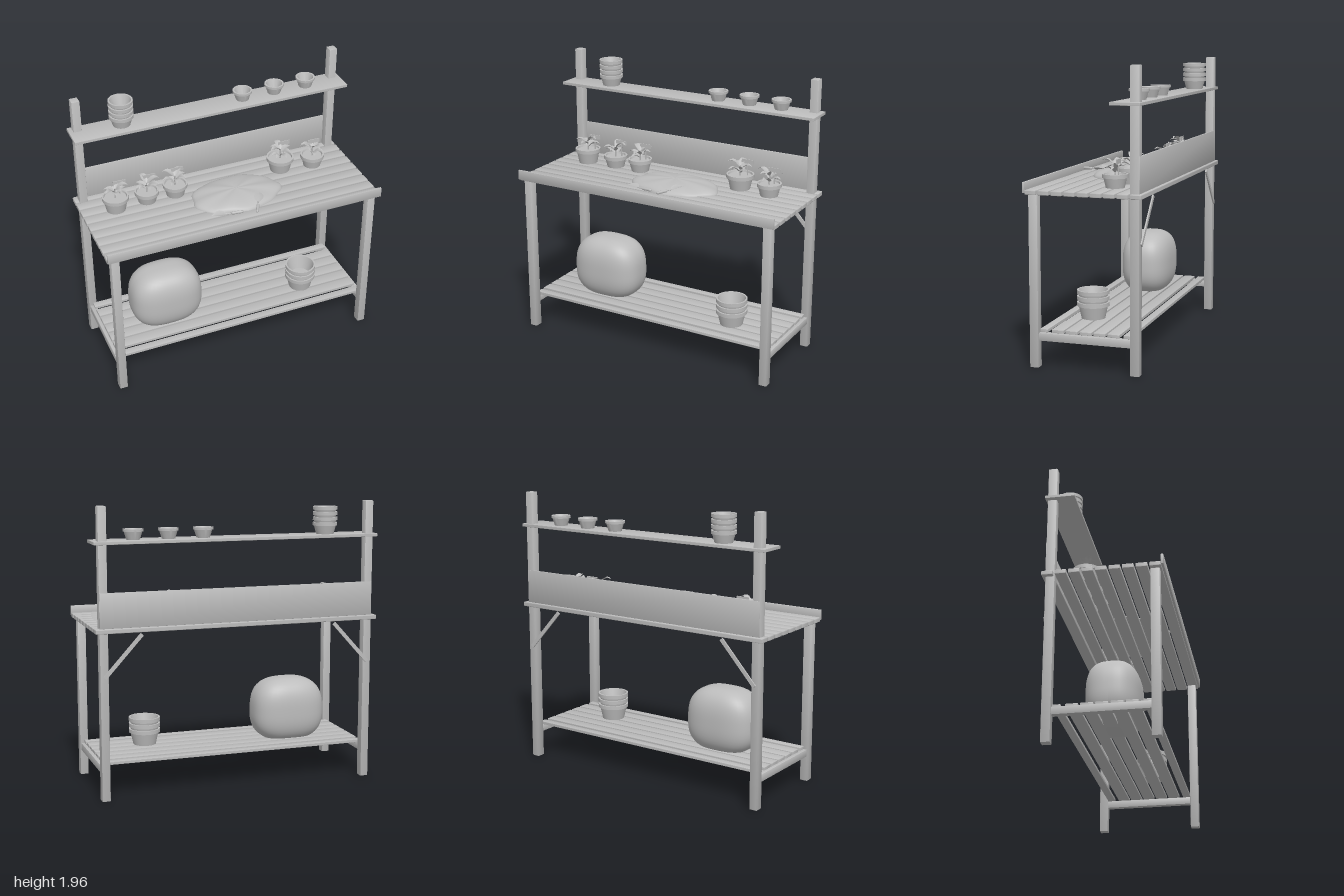
import * as THREE from 'three';
import { toCreasedNormals } from 'three/addons/utils/BufferGeometryUtils.js';
import { RoundedBoxGeometry } from 'three/addons/geometries/RoundedBoxGeometry.js';

const grey = new THREE.MeshStandardMaterial({ color: 0xbcbcbc });
grey.name = 'plain grey';
const greyThin = grey.clone();
greyThin.name = 'plain grey two sided';
greyThin.side = THREE.DoubleSide;

function add(parent, name, geometry, x = 0, y = 0, z = 0, material = grey) {
  const mesh = new THREE.Mesh(geometry, material);
  mesh.name = name;
  mesh.position.set(x, y, z);
  parent.add(mesh);
  return mesh;
}

// Board given by its min and max on each axis, with a slight bevel
function board(parent, name, [x0, x1], [y0, y1], [z0, z1], bevel = 0.006) {
  const geo = toCreasedNormals(new RoundedBoxGeometry(x1 - x0, y1 - y0, z1 - z0, 1, bevel), 0.6);
  return add(parent, name, geo, (x0 + x1) / 2, (y0 + y1) / 2, (z0 + z1) / 2);
}

// Flower pot with a rim band and hollow inside
function potGeometry(rTop, rBase, h, rim) {
  const pts = [[0, 0], [rBase, 0], [rTop * 0.9, h - rim], [rTop, h - rim], [rTop, h],
    [rTop - 0.012, h], [rBase - 0.01, 0.015], [0, 0.015]];
  const lathe = new THREE.LatheGeometry(pts.map(p => new THREE.Vector2(...p)), 28);
  return toCreasedNormals(lathe, 0.6);
}

function potStack(parent, name, count, step, size, x, y, z) {
  const stack = new THREE.Group();
  stack.name = name;
  stack.position.set(x, y, z);
  for (let i = 0; i < count; i++) add(stack, 'pot', potGeometry(...size), 0, i * step, 0);
  parent.add(stack);
}

// Pointed leaf, folded along its midrib and arching along +x
function leafGeometry(length, width, rise) {
  const pos = [], index = [];
  const n = 5;
  for (let i = 0; i <= n; i++) {
    const t = i / n;
    const w = width * Math.sin(Math.PI * Math.pow(t, 0.8)) * 0.5 + 0.0015;
    const y = rise * Math.sin(t * 2.2);
    for (const s of [-1, 0, 1]) pos.push(t * length, y + Math.abs(s) * w * 0.4, s * w);
    if (i < n) for (const k of [0, 1]) {
      const a = i * 3 + k;
      index.push(a, a + 1, a + 3, a + 1, a + 4, a + 3);
    }
  }
  const geo = new THREE.BufferGeometry();
  geo.setAttribute('position', new THREE.Float32BufferAttribute(pos, 3));
  geo.setIndex(index);
  geo.computeVertexNormals();
  return geo;
}

function pottedPlant(parent, seed, x, z, r, h, tagX, tagY) {
  const plant = new THREE.Group();
  plant.name = 'pottedPlant';
  plant.position.set(x, 1.166, z);
  add(plant, 'pot', potGeometry(r, r * 0.72, h, 0.025));
  add(plant, 'pottingSoil', new THREE.CylinderGeometry(r * 0.88, r * 0.85, 0.01, 24), 0, h - 0.018, 0);
  add(plant, 'stem', new THREE.CylinderGeometry(0.004, 0.006, 0.08, 6), 0, h + 0.02, 0);
  for (let i = 0; i < 9; i++) {
    const v = Math.abs(Math.sin(seed * 7.1 + i * 3.7));
    const leaf = add(plant, 'leaf', leafGeometry(0.065 + v * 0.025, 0.042, 0.02 + v * 0.025),
      0, h + 0.005 + (i % 3) * 0.022, 0, greyThin);
    leaf.rotation.y = seed + i * 2.4;
  }
  // Name tag on a thin stake
  add(plant, 'tagStake', new THREE.BoxGeometry(0.008, tagY - 1.166 - h + 0.03, 0.004),
    tagX - x, (tagY - 1.166 + h - 0.03) / 2, -0.03);
  add(plant, 'tagPlate', new THREE.BoxGeometry(0.09, 0.03, 0.005), tagX - x, tagY, -0.03).position.y = tagY - 1.166;
  parent.add(plant);
}

// Hand trowel lying along +x: pointed blade, neck and handle
function trowel(parent, x, y, z, yaw, pitch) {
  const tool = new THREE.Group();
  tool.name = 'trowel';
  tool.position.set(x, y, z);
  tool.rotation.set(0, yaw, pitch);
  const blade = add(tool, 'blade', leafGeometry(0.11, 0.065, 0.006), 0.015, 0, 0, greyThin);
  blade.rotation.y = Math.PI;
  const neck = add(tool, 'neck', new THREE.CylinderGeometry(0.004, 0.004, 0.05, 8), 0.03, 0.003, 0);
  const handle = add(tool, 'handle', new THREE.CapsuleGeometry(0.01, 0.065, 4, 10), 0.085, 0.003, 0);
  neck.rotation.z = handle.rotation.z = Math.PI / 2;
  parent.add(tool);
}

export function createModel() {
  const bench = new THREE.Group();
  bench.name = 'pottingBench';

  // Legs, lower bearers and back braces, mirrored
  for (const s of [-1, 1]) {
    const span = (a, b) => s > 0 ? [a, b] : [-b, -a];
    board(bench, 'frontLeg', span(0.912, 0.97), [0, 1.136], [0.31, 0.372]);
    board(bench, 'backPost', span(0.912, 0.97), [0, 1.96], [-0.372, -0.31]);
    board(bench, 'shelfBearer', span(0.918, 0.962), [0.18, 0.232], [-0.312, 0.312], 0.004);
    const dx = 0.255, dy = 0.28;
    const brace = add(bench, 'brace', new THREE.BoxGeometry(0.026, Math.hypot(dx, dy), 0.01),
      s * 0.8125, 0.98, -0.376);
    brace.rotation.z = s * Math.atan2(dx, dy);
  }

  // Tabletop slats and front lip
  for (let i = 0; i < 9; i++) {
    const z = 0.346 - i * 0.0877;
    board(bench, 'tableSlat', [-1, 1], [1.135, 1.166], [z - 0.038, z + 0.038]);
  }
  board(bench, 'frontLip', [-1, 1], [1.145, 1.216], [0.382, 0.4], 0.004);

  // Back board and upper shelf
  board(bench, 'backBoard', [-0.967, 0.967], [1.166, 1.4], [-0.374, -0.36], 0.002);
  board(bench, 'upperShelf', [-1, 1], [1.712, 1.734], [-0.385, -0.185], 0.004);

  // Lower shelf slats, narrower at the two edges
  for (let i = -3; i <= 3; i++) {
    const half = Math.abs(i) === 3 ? 0.027 : 0.041;
    board(bench, 'lowerSlat', [-0.94, 0.94], [0.233, 0.255],
      [i * 0.0945 - half, i * 0.0945 + half], 0.004);
  }

  // Stuffed sack: a sphere squared off towards a rounded box
  const sack = new THREE.SphereGeometry(1, 48, 32);
  const p = sack.attributes.position;
  for (let i = 0; i < p.count; i++) {
    const v = new THREE.Vector3().fromBufferAttribute(p, i);
    const e = 2.8;
    const k = Math.pow(Math.abs(v.x) ** e + Math.abs(v.y) ** e + Math.abs(v.z) ** e, -1 / e);
    v.multiplyScalar(k);
    p.setXYZ(i, v.x * 0.261 * (1 - 0.02 * v.y), v.y * 0.23, v.z * 0.18);
  }
  sack.computeVertexNormals();
  add(bench, 'sack', sack, -0.484, 0.455, 0);

  // Heap of soil with an uneven outline
  const heap = new THREE.SphereGeometry(1, 40, 10, 0, Math.PI * 2, 0, Math.PI / 2);
  const q = heap.attributes.position;
  for (let i = 0; i < q.count; i++) {
    const x = q.getX(i), y = q.getY(i), z = q.getZ(i);
    const a = Math.atan2(z, x), r = Math.hypot(x, z);
    const k = 1 + 0.03 * r * Math.sin(a * 5 + 1) + 0.02 * r * Math.sin(a * 9);
    q.setXYZ(i, x * 0.325 * k, y * 0.056 + 0.006 * r * y * Math.sin(a * 7), z * 0.21 * k);
  }
  heap.computeVertexNormals();
  add(bench, 'soilHeap', heap, 0.065, 1.166, 0.01, greyThin);
  trowel(bench, -0.11, 1.187, 0.232, -0.2, 0.05);
  trowel(bench, 0.15, 1.207, 0.2, -2.05, -0.03);

  // Empty pots on the shelves
  potStack(bench, 'largePotStack', 3, 0.041, [0.11, 0.08, 0.112, 0.026], 0.556, 0.255, 0.08);
  potStack(bench, 'mediumPotStack', 4, 0.036, [0.084, 0.06, 0.08, 0.022], -0.643, 1.734, -0.292);
  for (const x of [0.236, 0.476, 0.716])
    potStack(bench, 'smallPot', 1, 0, [0.068, 0.045, 0.07, 0.016], x, 1.734, -0.29);

  // Potted plants: seed, x, z, radius, height, tag x, tag y
  const plants = [[0.3, -0.763, -0.145, 0.092, 0.108, -0.72, 1.355],
    [1.4, -0.532, -0.16, 0.085, 0.086, -0.5, 1.34],
    [2.2, -0.324, -0.16, 0.086, 0.09, -0.295, 1.345],
    [3.1, 0.48, -0.165, 0.097, 0.106, 0.52, 1.357],
    [4.5, 0.718, -0.13, 0.085, 0.09, 0.74, 1.34]];
  for (const plant of plants) pottedPlant(bench, ...plant);

  return bench;
}
